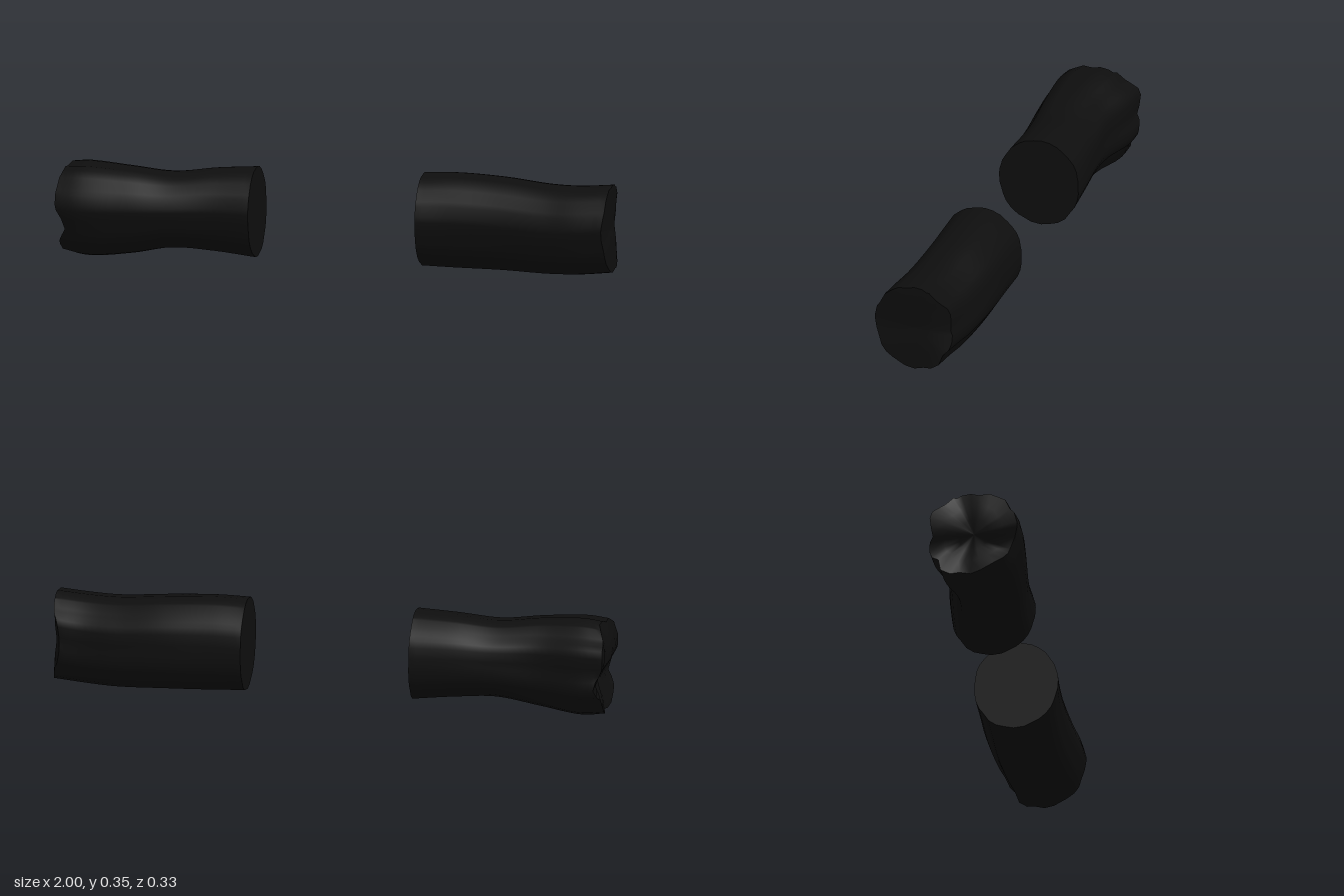
import * as THREE from 'three';

// Weathered end outline as (z, y) points, from the top round towards the back
const OUTLINE = [
  [-0.01, 0.352], [-0.045, 0.348], [-0.06, 0.335], [-0.075, 0.335], [-0.1, 0.305], [-0.115, 0.295],
  [-0.13, 0.285], [-0.15, 0.273], [-0.16, 0.245], [-0.155, 0.2], [-0.15, 0.17], [-0.163, 0.15],
  [-0.165, 0.115], [-0.155, 0.085], [-0.13, 0.07], [-0.12, 0.02], [-0.085, 0.003], [-0.05, 0.01],
  [-0.01, 0], [0.03, 0.012], [0.08, 0.042], [0.11, 0.06], [0.13, 0.085], [0.135, 0.11], [0.155, 0.155],
  [0.165, 0.19], [0.165, 0.21], [0.155, 0.25], [0.14, 0.265], [0.12, 0.31], [0.085, 0.33],
  [0.06, 0.343], [0.02, 0.34],
].map(([z, y]) => [z / 0.165, (y - 0.176) / 0.176]);

// Blend of a round section (0) and the weathered one (1), fitted to [-1, 1] both ways
function section(blend) {
  const pts = OUTLINE.map(([z, y]) => {
    const r = Math.hypot(z, y);
    const k = THREE.MathUtils.lerp(1 / r, 1, blend);
    return [z * k, y * k];
  });
  const lo = [0, 1].map((a) => Math.min(...pts.map((p) => p[a])));
  const hi = [0, 1].map((a) => Math.max(...pts.map((p) => p[a])));
  return pts.map((p) => p.map((v, a) => ((v - lo[a]) / (hi[a] - lo[a])) * 2 - 1));
}

// stations: [x, bottom, top, zMin, zMax] in rising x
function buildLog(name, stations, blendAt, endOffset, material) {
  const steps = 28;
  const n = OUTLINE.length;
  const xs = stations.map((s) => s[0]);
  const spline = new THREE.CubicInterpolant(xs, stations.flatMap((s) => s.slice(1)), 4);
  const x0 = xs[0];
  const x1 = xs[xs.length - 1];
  const pos = [];
  const index = [];
  for (let i = 0; i <= steps; i++) {
    const x = THREE.MathUtils.lerp(x0, x1, i / steps);
    const [bottom, top, zMin, zMax] = Array.from(spline.evaluate(x));
    for (const [sz, sy] of section(blendAt(i / steps))) {
      const y = (bottom + top) / 2 + (sy * (top - bottom)) / 2;
      const z = (zMin + zMax) / 2 + (sz * (zMax - zMin)) / 2;
      pos.push(x + endOffset(i / steps, y, z), y, z);
    }
  }
  for (let i = 0; i < steps; i++) {
    for (let j = 0; j < n; j++) {
      const a = i * n + j;
      const b = i * n + ((j + 1) % n);
      index.push(a, a + n, b, b, a + n, b + n);
    }
  }
  // End faces: separate vertices keep the rim sharp, an inner ring follows the worn end
  for (const t of [0, 1]) {
    const ring = t * steps * n;
    const start = pos.length / 3;
    const cy = 0.175;
    for (const k of [1, 0.66, 0.33, 0]) {
      for (let j = 0; j < n; j++) {
        const p = (ring + j) * 3;
        const y = cy + (pos[p + 1] - cy) * k;
        const z = pos[p + 2] * k;
        pos.push((t ? x1 : x0) + endOffset(t, y, z), y, z);
      }
    }
    for (let r = 0; r < 3; r++) {
      for (let j = 0; j < n; j++) {
        const a = start + r * n + j;
        const b = start + r * n + ((j + 1) % n);
        if (t) index.push(a, a + n, b, b, a + n, b + n);
        else index.push(a, b, a + n, b, b + n, a + n);
      }
    }
  }
  const geometry = new THREE.BufferGeometry();
  geometry.setAttribute('position', new THREE.Float32BufferAttribute(pos, 3));
  geometry.setIndex(index);
  geometry.computeVertexNormals();
  const mesh = new THREE.Mesh(geometry, material);
  mesh.name = name;
  return mesh;
}

export function createModel() {
  const black = new THREE.MeshStandardMaterial({ color: 0x0e0e0e });
  black.name = 'near black';
  const bump = (v, centre, width) => Math.exp(-(((v - centre) / width) ** 2));

  // Waisted log on the right, ragged at its outer end
  const rightLog = buildLog('rightLog', [
    [-1, 0.018, 0.34, -0.162, 0.155],
    [-0.92, 0.004, 0.346, -0.157, 0.164],
    [-0.75, 0.02, 0.335, -0.131, 0.155],
    [-0.6, 0.045, 0.32, -0.14, 0.142],
    [-0.45, 0.037, 0.336, -0.156, 0.13],
    [-0.3, 0.02, 0.346, -0.167, 0.132],
  ], (t) => 0.2 + 0.8 * (1 - t) ** 1.5,
  (t, y, z) => Math.max(0, 1 - t * 6) *
    (0.034 * bump(y, 0.13, 0.045) + 0.022 * bump(y, 0.36, 0.06) + 0.012 * bump(z, -0.04, 0.04)),
  black);

  // Fuller log on the left, with a gently worn outer end
  const leftLog = buildLog('leftLog', [
    [0.308, 0.016, 0.35, -0.167, 0.134],
    [0.42, 0.012, 0.354, -0.167, 0.127],
    [0.6, 0.009, 0.345, -0.167, 0.126],
    [0.78, 0.004, 0.328, -0.153, 0.138],
    [0.88, 0.008, 0.328, -0.141, 0.146],
    [1, 0.02, 0.337, -0.138, 0.146],
  ], (t) => 0.2 + 0.4 * t,
  (t, y, z) => -Math.max(0, t * 6 - 5) * (0.01 * bump(y, 0.18, 0.06) + 0.025 * bump(z, -0.15, 0.04)),
  black);

  const group = new THREE.Group();
  group.name = 'logPair';
  group.add(rightLog, leftLog);
  return group;
}
